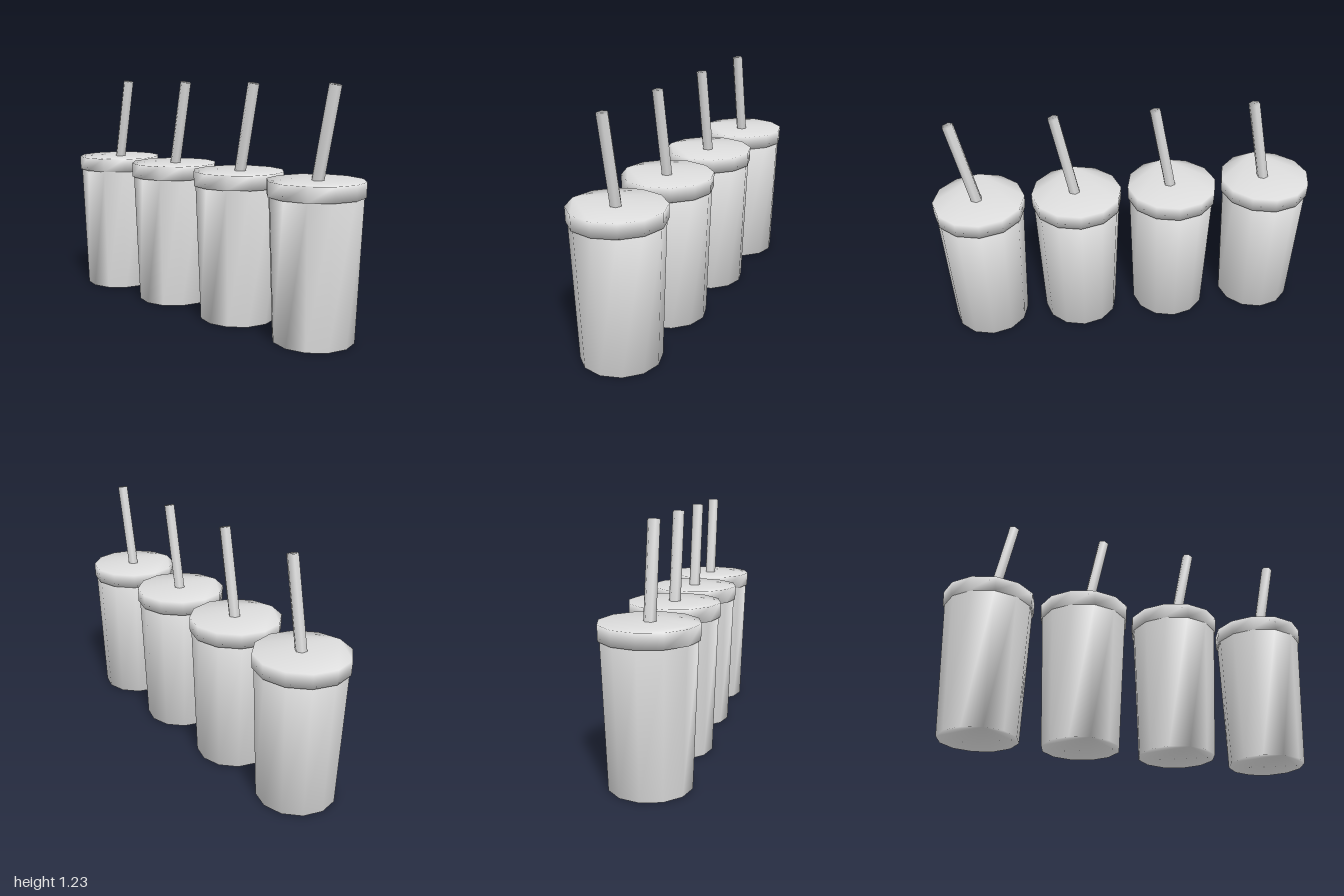
import * as THREE from 'three';

// Closed tapered prism whose side and cap corners share smooth normals
function taperedPrism(sides, rBottom, rTop, height) {
  const positions = [], index = [];
  for (const [r, y] of [[rBottom, 0], [rTop, height]]) {
    for (let i = 0; i < sides; i++) {
      const a = (i / sides) * Math.PI * 2;
      positions.push(r * Math.sin(a), y, r * Math.cos(a));
    }
  }
  for (let i = 0; i < sides; i++) {
    const j = (i + 1) % sides;
    index.push(i, j, sides + j, i, sides + j, sides + i);
  }
  for (let i = 1; i < sides - 1; i++) {
    index.push(0, i + 1, i); // bottom cap
    index.push(sides, sides + i, sides + i + 1); // top cap
  }
  const geometry = new THREE.BufferGeometry();
  geometry.setAttribute('position', new THREE.Float32BufferAttribute(positions, 3));
  geometry.setIndex(index);
  geometry.computeVertexNormals();
  return geometry;
}

export function createModel() {
  const model = new THREE.Group();
  model.name = 'rowOfCups';
  const material = new THREE.MeshStandardMaterial({ color: 0xdddddd });
  material.name = 'lightGrey';

  const parts = {
    cup: taperedPrism(12, 0.2, 0.227, 0.705),
    lid: taperedPrism(12, 0.235, 0.237, 0.075),
    straw: taperedPrism(6, 0.03, 0.03, 0.51),
  };
  const heights = { cup: 0, lid: 0.7, straw: 0.72 };

  // Four identical lidded cups, each with a straw leaning to +x
  for (let n = 0; n < 4; n++) {
    const drink = new THREE.Group();
    drink.name = `drink${n + 1}`;
    drink.position.x = (n - 1.5) * 0.5087;
    for (const name in parts) {
      const mesh = new THREE.Mesh(parts[name], material);
      mesh.name = name;
      mesh.position.y = heights[name];
      if (name === 'straw') mesh.rotation.z = -0.198;
      drink.add(mesh);
    }
    model.add(drink);
  }
  return model;
}
